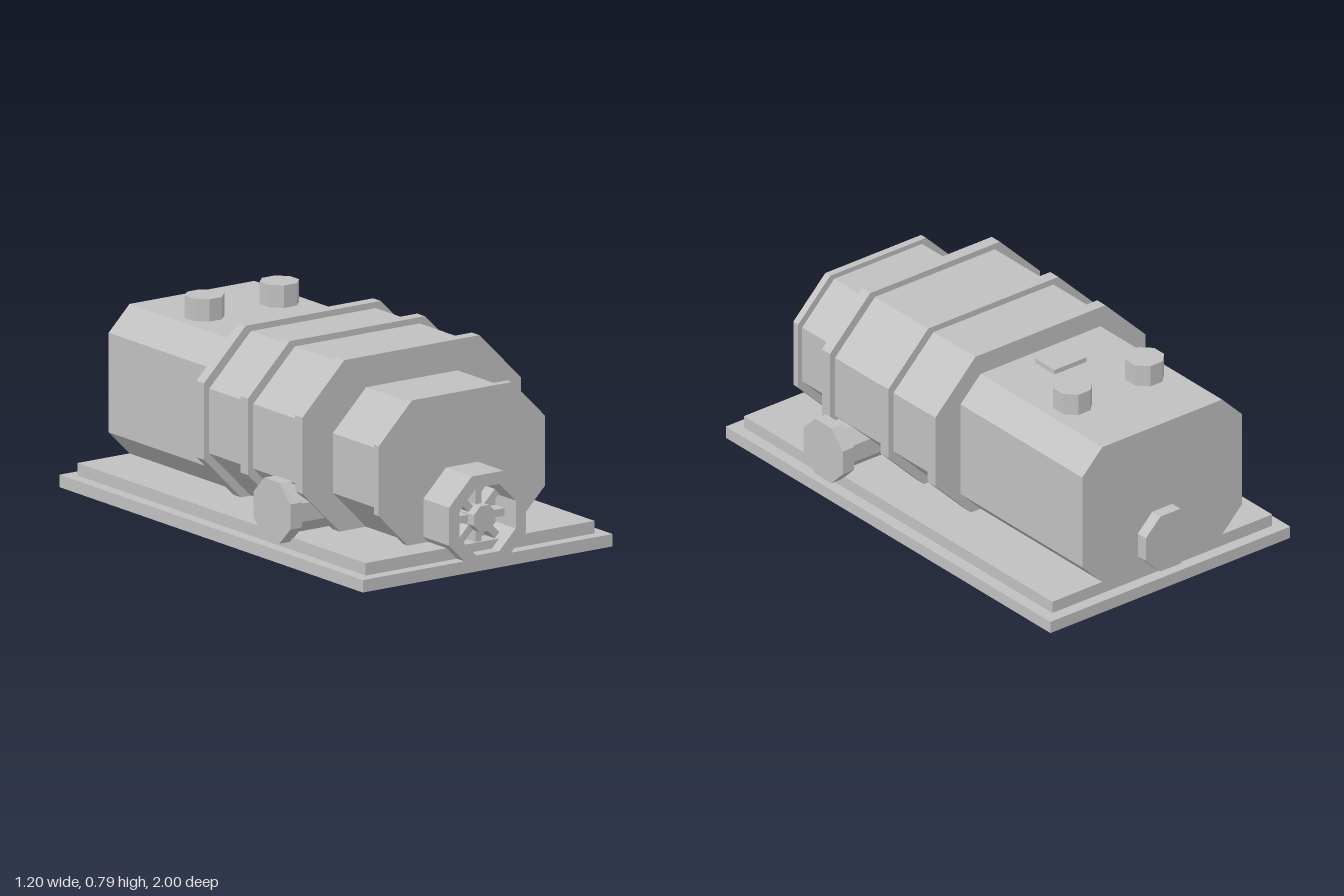
import * as THREE from 'three';

export function createModel() {
  const model = new THREE.Group();
  model.name = 'machine';
  const grey = new THREE.MeshStandardMaterial({ color: 0xc0c0c0 });
  grey.name = 'grey metal';

  const add = (name, geometry, x = 0, y = 0, z = 0) => {
    const mesh = new THREE.Mesh(geometry, grey);
    mesh.name = name;
    mesh.position.set(x, y, z);
    model.add(mesh);
    return mesh;
  };
  const box = (name, w, h, d, x, y, z) => add(name, new THREE.BoxGeometry(w, h, d), x, y, z);

  // Rectangle outline with cut corners
  const outline = (hw, y0, y1, c) => [
    [-hw + c, y0], [hw - c, y0], [hw, y0 + c], [hw, y1 - c],
    [hw - c, y1], [-hw + c, y1], [-hw, y1 - c], [-hw, y0 + c],
  ].map(([x, y]) => new THREE.Vector2(x, y));
  const extrude = (shape, depth) =>
    new THREE.ExtrudeGeometry(shape, { depth, bevelEnabled: false });
  const section = (name, hw, y0, y1, c, z0, z1) =>
    add(name, extrude(new THREE.Shape(outline(hw, y0, y1, c)), z1 - z0), 0, 0, z0);

  // Regular octagon prism along z, r measured to the flats
  const octPoints = (r) => outline(r, -r, r, r * (1 - Math.tan(Math.PI / 8)));
  const octagon = (r, depth, hole) => {
    const shape = new THREE.Shape(octPoints(r));
    if (hole) shape.holes.push(new THREE.Path(octPoints(hole).reverse()));
    return extrude(shape, depth);
  };

  // Stepped base
  box('basePlate', 1.2, 0.05, 2, 0, 0.025, 0);
  box('upperPlate', 1.1, 0.05, 1.9, 0, 0.075, 0);

  // Body sections from back to front
  section('rearHousing', 0.4, 0.1, 0.7, 0.1, -0.95, -0.2);
  section('middleHousing', 0.5, 0.1, 0.76, 0.2, -0.2, 0.5);
  for (const z of [-0.2, 0.09, 0.45])
    section('middleFlange', 0.525, 0.078, 0.785, 0.2, z, z + 0.05);
  section('frontHousing', 0.38, 0.1, 0.66, 0.16, 0.5, 0.8);
  section('frontFlange', 0.4, 0.08, 0.68, 0.16, 0.8, 0.83);

  // Front shroud with a spoked fan inside
  add('fanShroud', octagon(0.185, 0.17, 0.135), 0, 0.2, 0.83);
  add('fanBackPlate', octagon(0.125, 0.05), 0, 0.2, 0.83);
  add('fanHub', octagon(0.052, 0.12), 0, 0.2, 0.86);
  for (let i = 0; i < 8; i++) {
    const a = i * Math.PI / 4;
    const spoke = box('fanSpoke', 0.085, 0.03, 0.06,
      0.0825 * Math.cos(a), 0.2 + 0.0825 * Math.sin(a), 0.91);
    spoke.rotation.z = a;
  }

  // Side pipes with end caps
  for (const s of [-1, 1]) {
    const turn = s * Math.PI / 2;
    add('sidePipe', octagon(0.09, 0.25).rotateY(turn), s * 0.3, 0.2, 0.4);
    add('sideCap', octagon(0.122, 0.055).rotateY(turn), s * 0.545, 0.202, 0.4);
    // Roof knobs
    add('roofKnob', octagon(0.073, 0.09).rotateX(-Math.PI / 2), s * 0.18, 0.7, -0.62);
  }

  // Rear cap and roof plate
  add('rearCap', octagon(0.122, 0.05), 0, 0.202, -1);
  box('roofPlate', 0.16, 0.02, 0.12, 0, 0.71, -0.325);

  return model;
}
